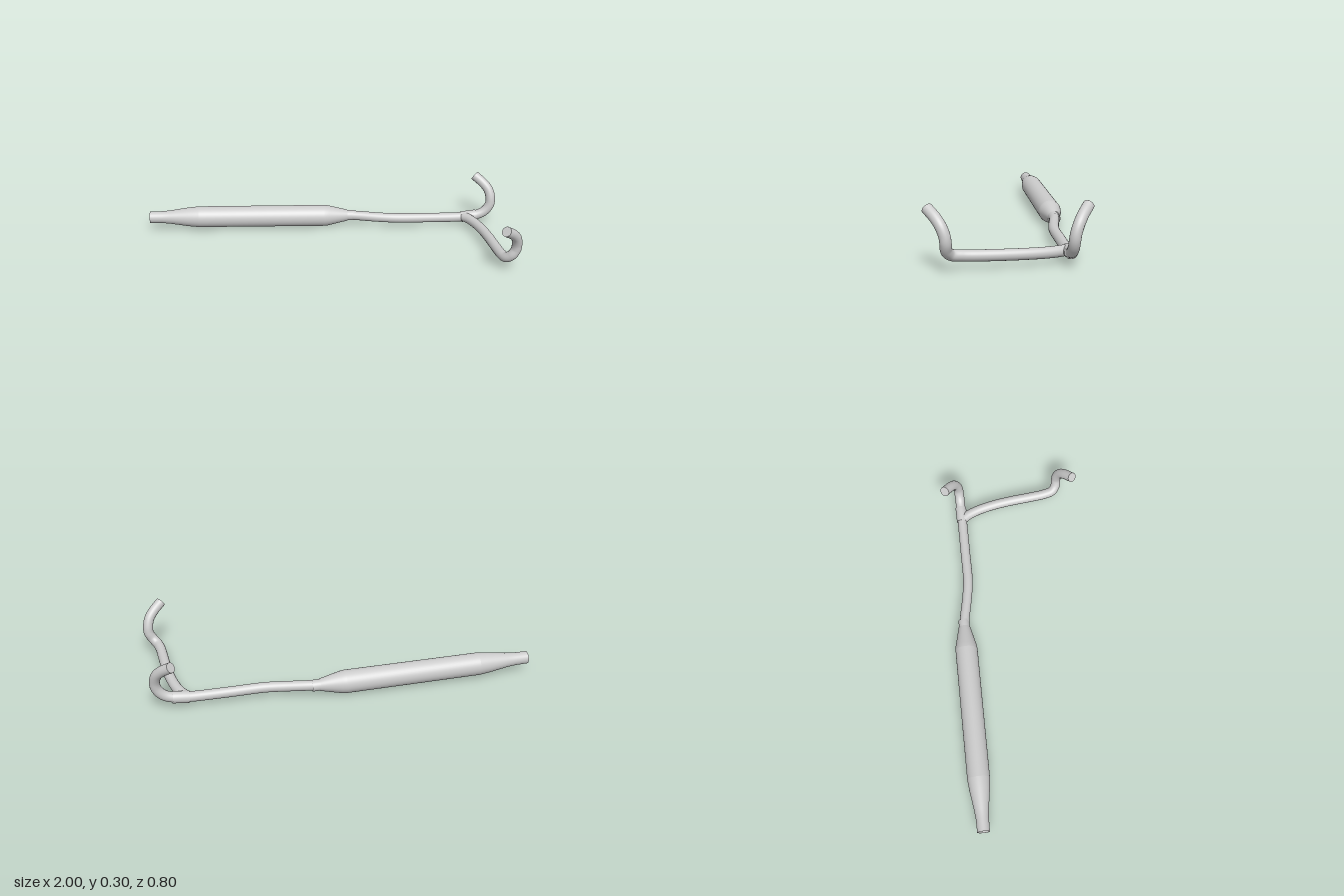
import * as THREE from 'three';

const V = (x, y, z) => new THREE.Vector3(x, y, z);

export function createModel() {
  const root = new THREE.Group();
  root.name = 'exhaustSystem';
  const steel = new THREE.MeshStandardMaterial({ color: 0xcccccc, side: THREE.DoubleSide });
  steel.name = 'steel';

  const add = (name, geometry, parent = root) => {
    const mesh = new THREE.Mesh(geometry, steel);
    mesh.name = name;
    parent.add(mesh);
    return mesh;
  };

  // Turns a (distance, radius) profile around the line from a to b
  const turned = (name, a, b, profile) => {
    const points = profile.map(([d, r]) => new THREE.Vector2(r, d));
    const mesh = add(name, new THREE.LatheGeometry(points, 48));
    mesh.position.copy(a);
    mesh.quaternion.setFromUnitVectors(V(0, 1, 0), b.clone().sub(a).normalize());
    return mesh;
  };

  // Bent pipe with a flat disc closing its far end
  const pipe = (name, points, radius) => {
    const group = new THREE.Group();
    group.name = name;
    root.add(group);
    const curve = new THREE.CatmullRomCurve3(points, false, 'centripetal');
    add(name + 'Tube', new THREE.TubeGeometry(curve, 120, radius, 28), group);
    const cap = add(name + 'End', new THREE.CircleGeometry(radius, 28), group);
    cap.position.copy(curve.getPoint(1));
    cap.quaternion.setFromUnitVectors(V(0, 0, 1), curve.getTangent(1));
  };

  // Silencer: tail neck, long cone, barrel, short cone and inlet sleeve
  const tail = V(-1, 0.08, -0.348), inlet = V(0.18, 0.06, -0.33);
  turned('tailCone', tail, inlet, [[0, 0.033], [0.07, 0.034], [0.12, 0.039], [0.22, 0.054], [0.28, 0.06]]);
  turned('silencerBarrel', tail, inlet, [[0.28, 0.06], [1.005, 0.061]]);
  turned('inletCone', tail, inlet, [[1.005, 0.061], [1.03, 0.058], [1.14, 0.032]]);
  turned('inletSleeve', tail, inlet, [[1.13, 0.03], [1.18, 0.03], [1.18, 0.026]]);
  turned('tailInnerTube', tail, inlet, [[0, 0.033], [0, 0.03], [0.25, 0.03]]);

  // Upper half of a header, shared by both sides: x, y, outward offset
  const hook = (z, side) => [
    [0.968, 0.135, 0], [0.969, 0.17, 0.005], [0.957, 0.213, 0.021],
    [0.93, 0.246, 0.043], [0.885, 0.28, 0.077],
  ].map(([x, y, out]) => V(x, y, z + side * out));

  // Rear header running straight into the silencer
  pipe('mainPipe', [
    V(0.14, 0.061, -0.331), V(0.2, 0.06, -0.322), V(0.32, 0.057, -0.297), V(0.42, 0.056, -0.282),
    V(0.6, 0.053, -0.278), V(0.8, 0.053, -0.275), V(0.88, 0.061, -0.275),
    V(0.925, 0.077, -0.274), V(0.953, 0.103, -0.274), ...hook(-0.275, -1),
  ], 0.027);

  // Front header crossing over to the junction
  pipe('crossPipe', [
    V(0.815, 0.056, -0.272), V(0.84, 0.057, -0.235), V(0.865, 0.058, -0.17), V(0.885, 0.06, -0.08),
    V(0.898, 0.062, 0.02), V(0.908, 0.065, 0.15), V(0.915, 0.069, 0.225),
    V(0.927, 0.076, 0.272), V(0.95, 0.1, 0.294), ...hook(0.298, 1),
  ], 0.027);

  // Junction collar where the two headers meet
  turned('junctionCollar', V(0.805, 0.053, -0.275), V(0.89, 0.062, -0.275),
    [[0, 0.027], [0, 0.031], [0.085, 0.031], [0.085, 0.027]]);

  return root;
}
